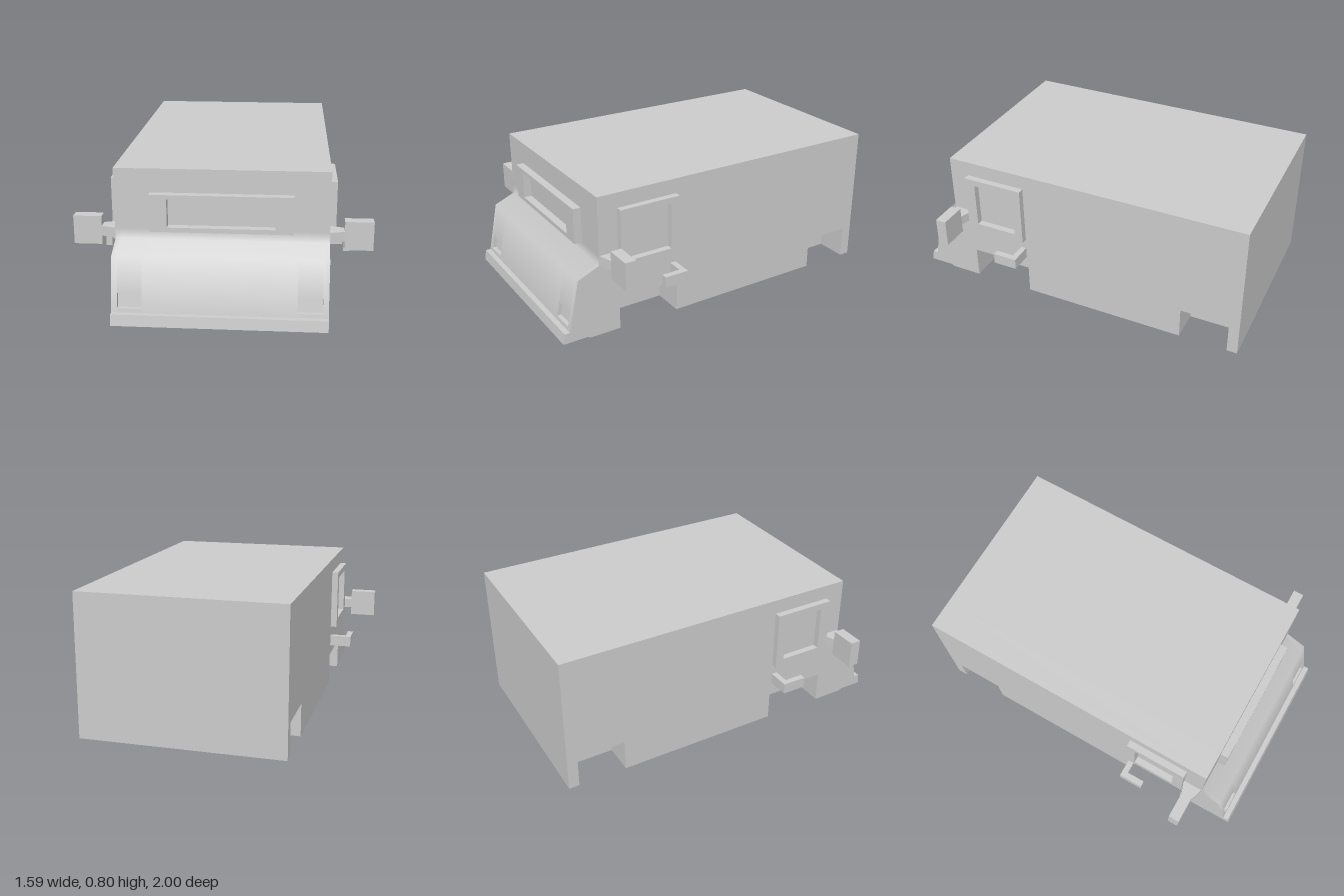
import * as THREE from 'three';
import { mergeGeometries, toCreasedNormals } from 'three/addons/utils/BufferGeometryUtils.js';

const material = new THREE.MeshStandardMaterial({ color: 0xcccccc });
const HALF = 0.565; // half width of the body
const CAB = 0.775; // z of the cab front

const toShape = (pts) => new THREE.Shape(pts.map(([a, b]) => new THREE.Vector2(a, b)));
const rect = (a0, a1, b0, b1) => [[a0, b0], [a1, b0], [a1, b1], [a0, b1]];

function extrude(shape, depth) {
  return new THREE.ExtrudeGeometry(shape, { depth, bevelEnabled: false });
}

// Outline in (z, y), extruded across x from x0 to x1
function acrossX(shape, x0, x1) {
  return extrude(shape, x1 - x0).rotateY(-Math.PI / 2).translate(x1, 0, 0);
}

// Outline in (x, z), extruded upwards from y0 to y1
function upY(shape, y0, y1) {
  return extrude(shape, y1 - y0).rotateX(Math.PI / 2).translate(0, y1, 0);
}

function framed(outer, inner) {
  const shape = toShape(outer);
  shape.holes.push(toShape(inner));
  return shape;
}

// Side profile of the van, optionally notched for wheels and headlights
function bodyProfile(wells, light) {
  const notch = (z0, z1) => (wells ? [[z0, 0], [z0, 0.185], [z1, 0.185], [z1, 0]] : []);
  return toShape([
    [-1, 0],
    ...notch(-0.94, -0.66),
    ...notch(0.3, 0.66),
    [0.84, 0], [0.86, 0.01], [1, 0.01], [0.99, 0.07], [0.96, 0.07],
    ...(light ? [[0.956, 0.09], [0.932, 0.09], [0.915, 0.17], [0.939, 0.17]] : []),
    [0.9, 0.36], [CAB, 0.415], [CAB, 0.47], [CAB, 0.8], [-1, 0.8],
  ]);
}

export function createModel() {
  const model = new THREE.Group();
  const add = (name, geometry, parent = model) => {
    const mesh = new THREE.Mesh(geometry, material);
    mesh.name = name;
    parent.add(mesh);
  };

  // Body, in slices across its width: [x0, x1, wheel wells, headlight recess]
  const slices = [[-0.385, 0.385, false, false]];
  for (const [a, b, light] of [[0.385, 0.405, false], [0.405, 0.535, true], [0.535, HALF, false]]) {
    slices.push([a, b, true, light], [-b, -a, true, light]);
  }
  const parts = slices.map(([a, b, wells, light]) => acrossX(bodyProfile(wells, light), a, b));
  add('body', toCreasedNormals(mergeGeometries(parts), 1.2));

  // Windscreen frame
  const screen = framed(rect(-0.375, 0.375, 0.47, 0.672), rect(-0.283, 0.283, 0.495, 0.65));
  add('windscreenFrame', extrude(screen, 0.045).translate(0, 0, CAB));

  for (const [side, s] of [['left', 1], ['right', -1]]) {
    const group = new THREE.Group();
    group.name = side + 'SideFittings';
    model.add(group);
    const mirrored = (pts) => toShape(pts.map(([x, z]) => [x * s, z]));

    // Side window frame
    const frame = framed(rect(0.305, 0.662, 0.368, 0.715), rect(0.355, 0.6, 0.417, 0.678));
    add(side + 'WindowFrame', acrossX(frame, s > 0 ? HALF : -0.602, s > 0 ? 0.602 : -HALF), group);

    // Wing mirror on a tapering arm
    const arm = [[HALF, 0.658], [0.643, 0.685], [0.643, 0.747], [HALF, 0.772]];
    add(side + 'MirrorArm', upY(mirrored(arm), 0.415, 0.47), group);
    add(side + 'Mirror', upY(mirrored(rect(0.643, 0.795, 0.685, 0.747)), 0.367, 0.524), group);

    // Hooked door handle
    const hook = [[HALF, 0.307], [0.692, 0.307], [0.692, 0.448], [0.657, 0.448], [0.657, 0.34], [HALF, 0.34]];
    add(side + 'DoorHandle', upY(mirrored(hook), 0.245, 0.308), group);
  }
  return model;
}
